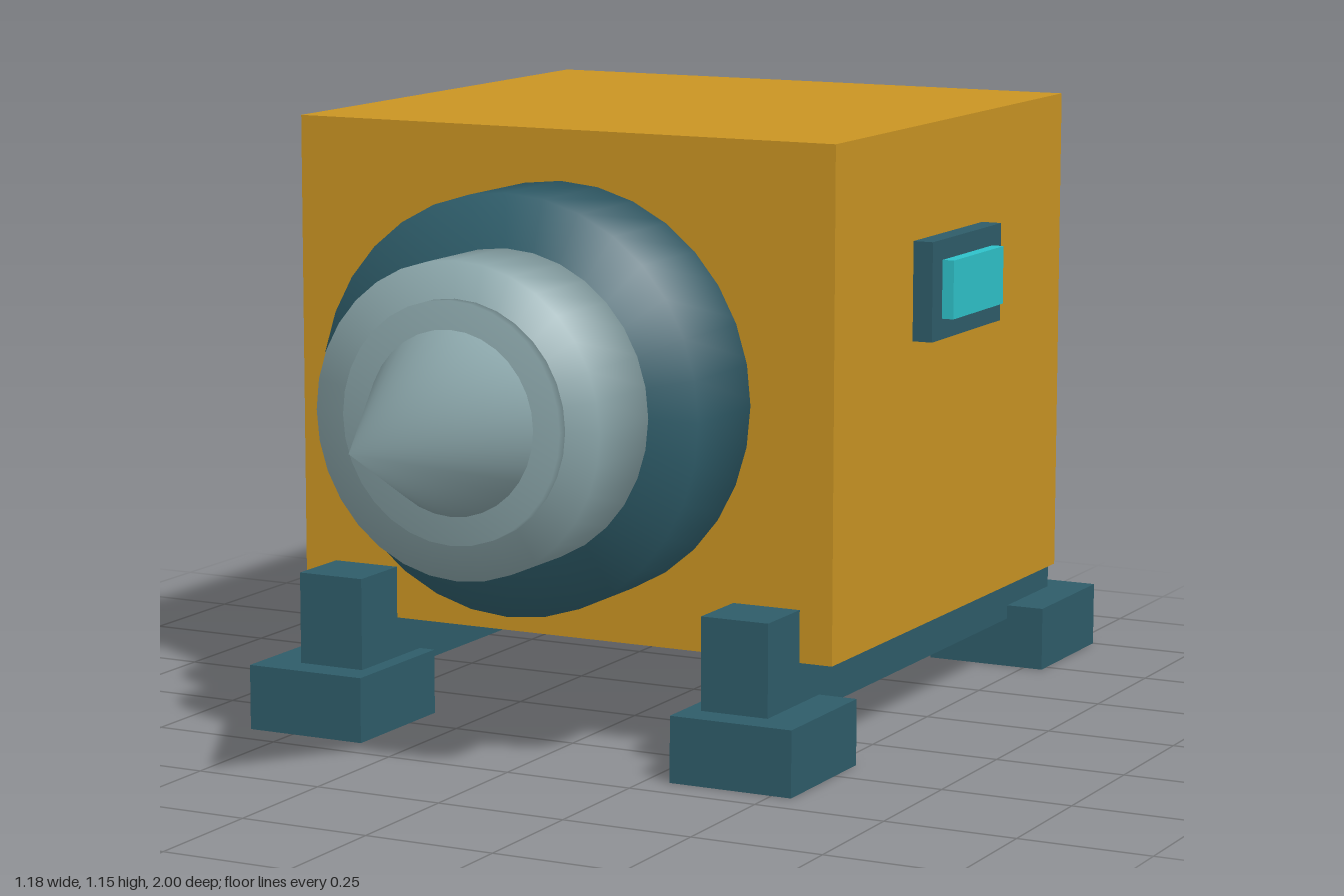
import * as THREE from 'three';
import { mergeVertices } from 'three/addons/utils/BufferGeometryUtils.js';

const material = (name, color) => {
  const m = new THREE.MeshStandardMaterial({ color });
  m.name = name;
  return m;
};

export function createModel() {
  const group = new THREE.Group();
  const yellow = material('housing yellow', 0xc99423);
  const teal = material('dark teal', 0x2e5c69);
  const steel = material('steel grey', 0x8aa5a9);
  const cyan = material('screen cyan', 0x2ec1c9);

  // Box given by its minimum and maximum corners
  const box = (name, mat, [x0, y0, z0], [x1, y1, z1]) => {
    const mesh = new THREE.Mesh(new THREE.BoxGeometry(x1 - x0, y1 - y0, z1 - z0), mat);
    mesh.position.set((x0 + x1) / 2, (y0 + y1) / 2, (z0 + z1) / 2);
    mesh.name = name;
    group.add(mesh);
  };

  // Round part along z, with normals blended over its rims
  const round = (name, mat, rFront, rBack, z0, z1) => {
    let geo = new THREE.CylinderGeometry(rFront, rBack, z1 - z0, 32);
    geo.deleteAttribute('uv');
    geo.deleteAttribute('normal');
    geo = mergeVertices(geo);
    geo.computeVertexNormals();
    geo.rotateX(Math.PI / 2);
    const mesh = new THREE.Mesh(geo, mat);
    mesh.position.set(-0.026, 0.664, (z0 + z1) / 2);
    mesh.name = name;
    group.add(mesh);
  };

  // Main housing
  box('housing', yellow, [-0.582, 0.2, -0.81], [0.528, 1.147, 0.242]);

  // Stepped drill head
  round('collar', teal, 0.388, 0.388, 0.2, 0.45);
  round('chuck', steel, 0.288, 0.288, 0.44, 0.634);
  round('chuckDisc', steel, 0.22, 0.22, 0.62, 0.655);
  round('drillTip', steel, 0, 0.17, 0.65, 1);

  // Skid rails with a foot at each end
  for (const [side, x] of [['right', -0.471], ['left', 0.418]]) {
    const railX = x + (side === 'right' ? 0.022 : -0.022);
    box(side + 'Rail', teal, [railX - 0.067, 0.097, -0.936], [railX + 0.067, 0.298, 0.373]);
    box(side + 'FrontFoot', teal, [x - 0.121, 0, 0.158], [x + 0.121, 0.124, 0.433]);
    box(side + 'BackFoot', teal, [x - 0.121, 0, -1], [x + 0.121, 0.124, -0.725]);
  }

  // Control panel on the left side
  box('panelFrame', teal, [0.52, 0.748, -0.42], [0.567, 0.935, -0.1]);
  box('panelScreen', cyan, [0.56, 0.787, -0.379], [0.59, 0.897, -0.145]);

  return group;
}
